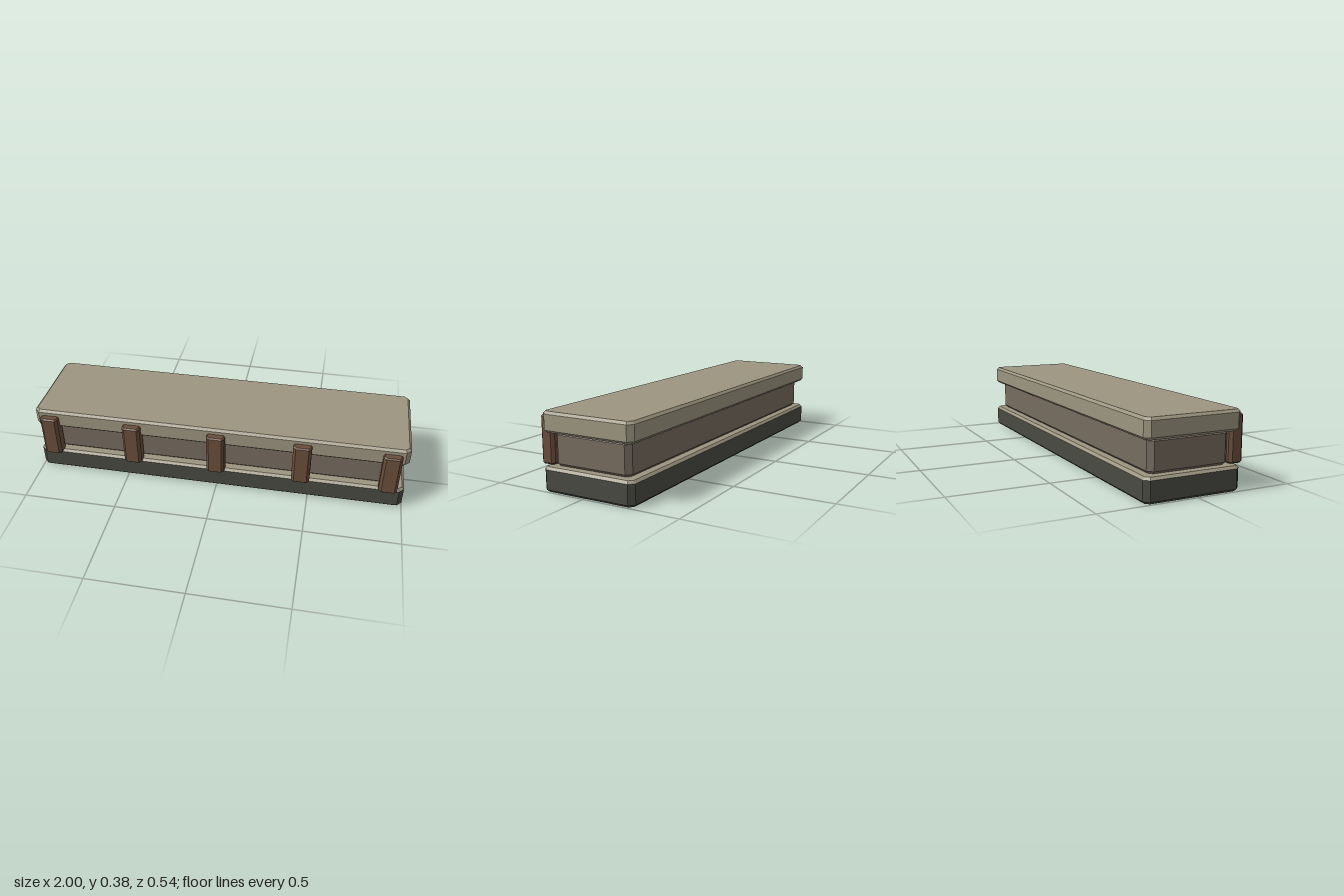
import * as THREE from 'three';

// Octagonal outline of a rectangle with cut corners, shrunk evenly by inset
function outline(w, d, cut, inset) {
  const x = w / 2 - inset, z = d / 2 - inset;
  const c = cut - inset * (2 - Math.SQRT2);
  return [[x, z - c], [x - c, z], [c - x, z], [-x, z - c],
    [-x, c - z], [c - x, -z], [x - c, -z], [x, c - z]];
}

// Flat-faced solid through rings of [y, inset], listed from bottom to top
function slab(name, color, w, d, cut, rings, capBottom = true, capTop = true) {
  const pos = [];
  const loops = rings.map(([y, inset]) => outline(w, d, cut, inset).map(([x, z]) => [x, y, z]));
  const tri = (a, b, c) => pos.push(...a, ...b, ...c);
  for (let r = 0; r < loops.length - 1; r++) {
    const lo = loops[r], hi = loops[r + 1];
    for (let i = 0; i < 8; i++) {
      const j = (i + 1) % 8;
      tri(lo[i], hi[j], lo[j]);
      tri(lo[i], hi[i], hi[j]);
    }
  }
  const first = loops[0], last = loops[loops.length - 1];
  for (let i = 1; i < 7; i++) {
    if (capBottom) tri(first[0], first[i], first[i + 1]);
    if (capTop) tri(last[0], last[i + 1], last[i]);
  }
  const geo = new THREE.BufferGeometry();
  geo.setAttribute('position', new THREE.Float32BufferAttribute(pos, 3));
  geo.computeVertexNormals();
  const mesh = new THREE.Mesh(geo, new THREE.MeshStandardMaterial({ color, flatShading: true }));
  mesh.name = name;
  return mesh;
}

// Rings of a block bevelled along its top and bottom edges
const bevelled = (y0, y1, b) => [[y0, b], [y0 + b, 0], [y1 - b, 0], [y1, b]];

export function createModel() {
  const model = new THREE.Group();
  model.name = 'counter';
  const stone = 0x9c9580, dark = 0x4a4a44, wall = 0x776c5f, wood = 0x6a4e3c;
  const b = 0.0125, cut = 0.025;

  // Plinth, with a pale bevelled top
  const base = slab('base', dark, 2, 0.5, cut, [[0, b], [b, 0], [0.12 - b, 0]], true, false);
  const baseTop = slab('baseTop', stone, 2, 0.5, cut, [[0.12 - b, 0], [0.12, b]], false, true);

  // Recessed body and overhanging top slab
  const body = slab('body', wall, 1.92, 0.42, cut, bevelled(0.12, 0.28, b));
  const top = slab('topSlab', stone, 2, 0.5, cut, bevelled(0.28, 0.38, b));
  for (const part of [base, baseTop, body, top]) {
    part.position.z = -0.018;
    model.add(part);
  }

  // Five wooden posts along the front
  for (let i = -2; i <= 2; i++) {
    const post = slab('post', wood, 0.096, 0.075, 0.014, bevelled(0.12, 0.35, 0.007));
    post.position.set(i * 0.456, 0, 0.2325);
    model.add(post);
  }
  return model;
}
